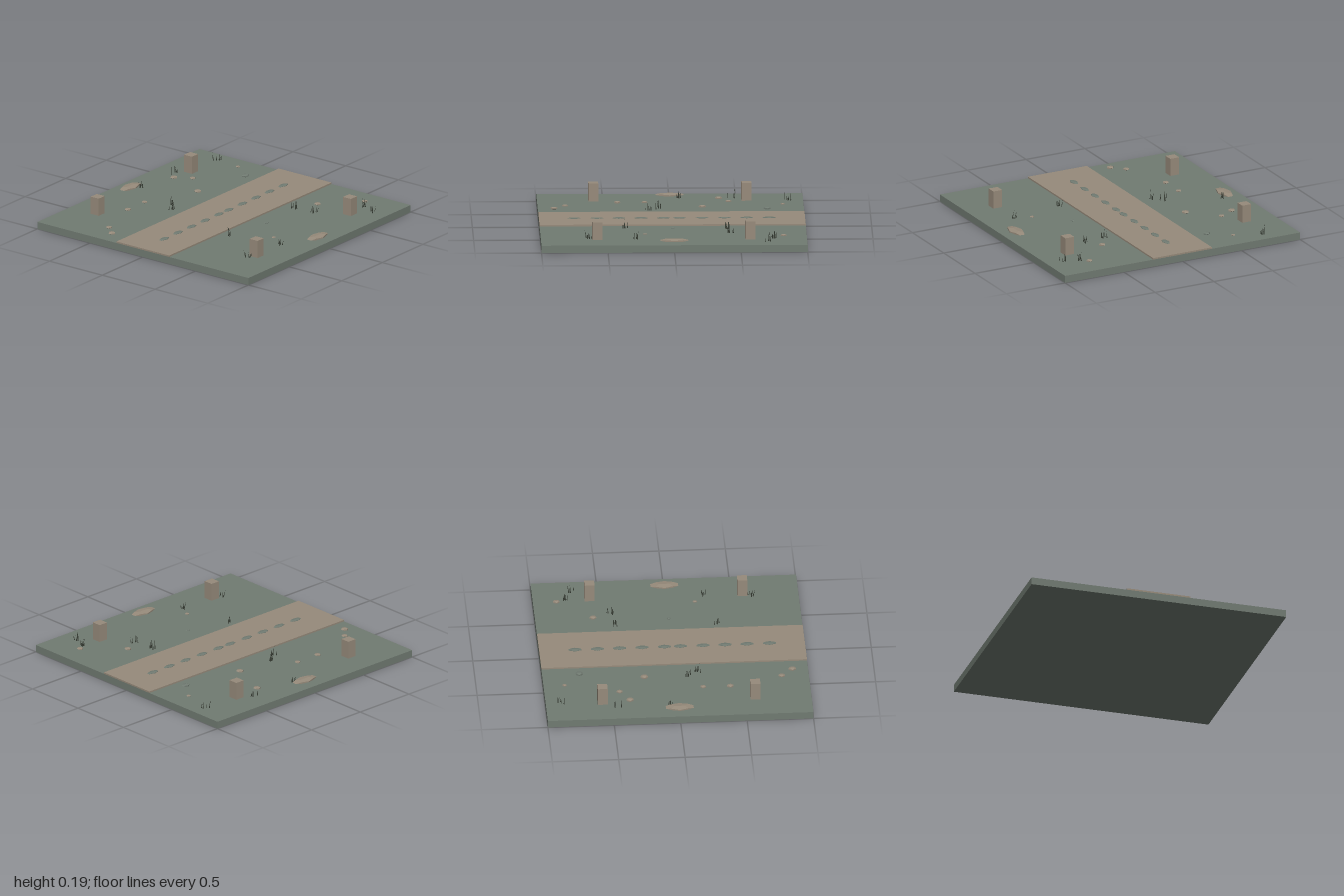
import * as THREE from 'three';

const mat = (name, color) => {
  const m = new THREE.MeshStandardMaterial({ color });
  m.name = name;
  return m;
};

export function createModel() {
  const model = new THREE.Group();
  model.name = 'groundTile';
  const moss = mat('mossGrey', 0x717b72);
  const earth = mat('earthTan', 0x978b7b);
  const grass = mat('dryGrass', 0x3f453b);

  const add = (name, geometry, material, x, y, z, parent = model) => {
    const mesh = new THREE.Mesh(geometry, material);
    mesh.name = name;
    mesh.position.set(x, y, z);
    parent.add(mesh);
    return mesh;
  };

  // Slab and the raised road across it
  add('groundSlab', new THREE.BoxGeometry(2, 0.056, 2), moss, 0, 0.028, 0);
  add('road', new THREE.BoxGeometry(2, 0.014, 0.5), earth, 0, 0.061, 0);

  // Four square posts
  const post = new THREE.BoxGeometry(0.075, 0.138, 0.075);
  for (const x of [-0.577, 0.573])
    for (const z of [-0.753, 0.753]) add('post', post, earth, x, 0.124, z);

  // Flattened faceted lumps: mounds, road slabs and pebbles
  const rock = new THREE.DodecahedronGeometry(1);
  const lump = (name, material, x, y, z, rx, ry, rz) =>
    add(name, rock, material, x, y, z).scale.set(rx, ry, rz);

  for (const z of [-0.887, 0.887]) lump('mound', earth, 0, 0.072, z, 0.112, 0.011, 0.055);

  for (const x of [-0.735, -0.565, -0.4, -0.233, -0.063, 0.057, 0.226, 0.394, 0.561, 0.73])
    lump('roadMarker', moss, x, 0.068, 0, 0.052, 0.006, 0.028);

  const pebbles = [
    [-0.88, -0.385, 0.029], [-0.795, -0.477, 0.025], [-0.4, -0.602, 0.026],
    [-0.195, -0.602, 0.023], [0.365, -0.755, 0.029], [0.436, -0.632, 0.024],
    [0.237, -0.43, 0.03], [0.842, -0.514, 0.017], [0.565, 0.453, 0.027],
    [-0.214, 0.635, 0.017], [0.825, 0.7, 0.025],
    [0.722, -0.352, 0.03, moss], [-0.002, 0.404, 0.016, moss],
  ];
  for (const [x, z, r, m = earth] of pebbles) lump('pebble', m, x, 0.071, z, r, r * 0.35, r);

  // Tufts of thin leaning blades
  let seed = 11;
  const rand = () => (seed = (seed * 16807) % 2147483647) / 2147483647;
  const blade = new THREE.ConeGeometry(0.004, 1, 4);
  blade.translate(0, 0.5, 0);
  const tufts = [
    [0.08, -0.835], [0.46, -0.83], [0.885, -0.745], [-0.095, -0.42],
    [-0.165, -0.355], [-0.355, 0.335], [0.4, 0.35], [0.43, 0.52],
    [-0.645, 0.722], [-0.28, 0.745], [0.76, 0.745], [0.705, 0.865],
  ];
  for (const [x, z] of tufts) {
    const tuft = new THREE.Group();
    tuft.name = 'grassTuft';
    tuft.position.set(x, 0.055, z);
    for (let i = 0; i < 5; i++) {
      const b = add('blade', blade, grass, (rand() - 0.5) * 0.05, 0, (rand() - 0.5) * 0.04, tuft);
      b.scale.y = 0.035 + rand() * 0.04;
      b.rotation.set((rand() - 0.5) * 0.5, rand() * 3, (rand() - 0.5) * 0.5);
    }
    model.add(tuft);
  }
  return model;
}
